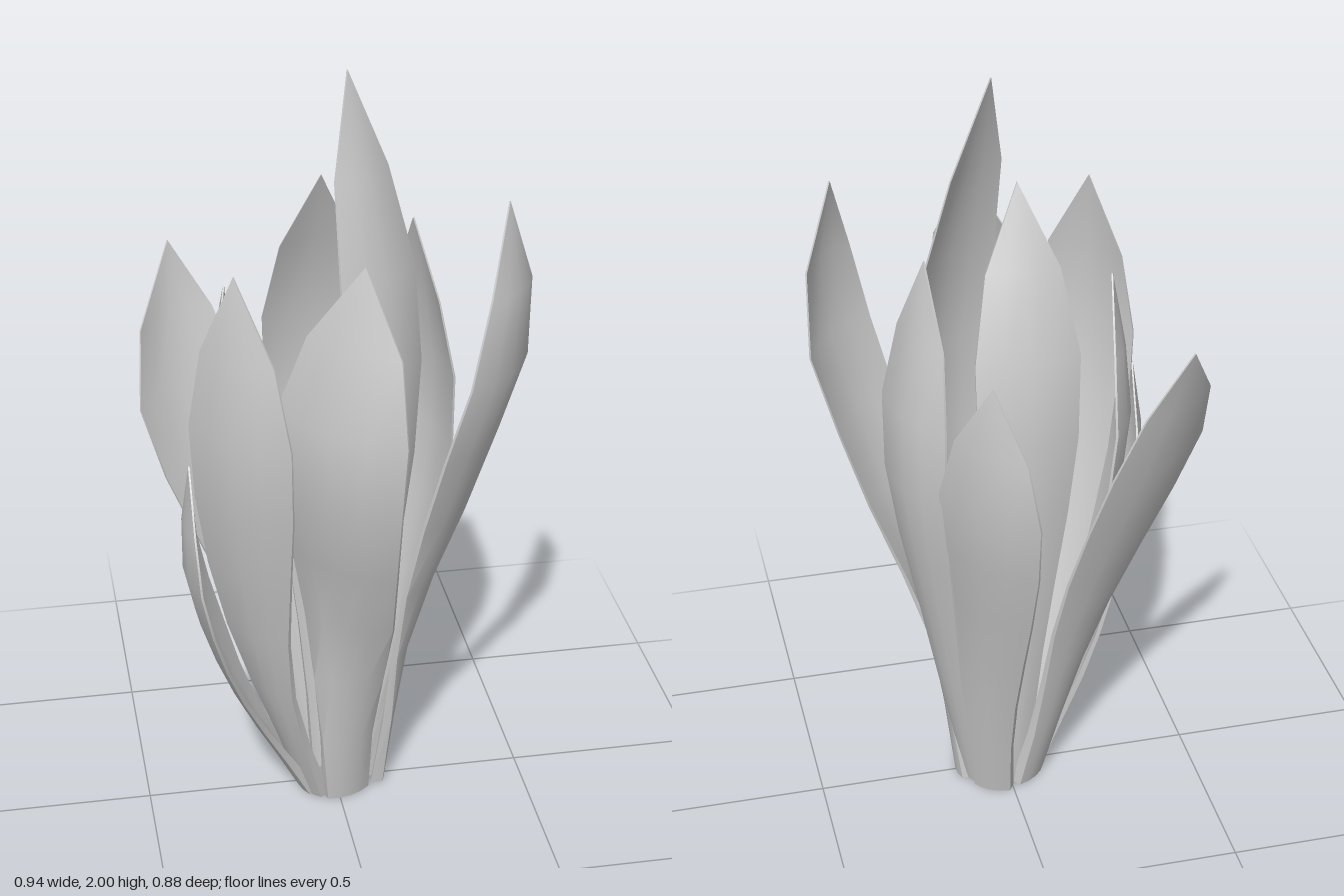
import * as THREE from 'three';
import { toCreasedNormals } from 'three/addons/utils/BufferGeometryUtils.js';

// relative leaf width at equal steps from base to tip
const OUTLINE = [0.33, 0.37, 0.48, 0.65, 0.83, 0.97, 1, 0.71, 0];
const COLS = 4;
const CUP = 0.12;

// name, midrib points from base to tip, greatest width, azimuth the belly faces (degrees, 0 = front)
const LEAVES = [
  ['tallInnerLeaf', [[0.06, 0, 0.05], [0.1, 0.6, 0.11], [0.125, 1.35, 0.13], [0.03, 2, 0.01]], 0.25, 35],
  ['innerBackLeaf', [[-0.01, 0, -0.09], [-0.02, 0.6, -0.14], [-0.03, 1.3, -0.165], [-0.03, 1.74, -0.01]], 0.26, -180],
  ['outerLeftLeaf', [[0.135, 0, 0], [0.195, 0.5, 0.07], [0.31, 0.95, 0.155], [0.415, 1.38, 0.205], [0.39, 1.71, 0.16]], 0.26, 46],
  ['frontLeaf', [[0.03, 0, 0.09], [0, 0.5, 0.19], [-0.075, 1.15, 0.345], [0.02, 1.63, 0.3]], 0.37, -43],
  ['frontRightLeaf', [[-0.085, 0, 0.05], [-0.235, 0.55, 0.18], [-0.297, 1.2, 0.298], [-0.28, 1.61, 0.26]], 0.29, -41],
  ['backLeftLeaf', [[0.11, 0, -0.04], [0.2, 0.5, -0.08], [0.283, 1.1, -0.115], [0.21, 1.59, -0.07]], 0.27, 113],
  ['outerBackRightLeaf', [[-0.07, 0, -0.08], [-0.19, 0.55, -0.16], [-0.365, 1.14, -0.29], [-0.365, 1.44, -0.385]], 0.33, -147],
  ['outerBackLeaf', [[0.06, 0, -0.11], [0.1, 0.5, -0.22], [0.14, 1.1, -0.36], [0.11, 1.39, -0.355]], 0.3, 131],
  ['shortRightLeaf', [[-0.1, 0, 0.02], [-0.29, 0.4, 0.09], [-0.412, 0.84, 0.18], [-0.39, 1.1, 0.2]], 0.31, -94],
  ['rightLeaf', [[-0.1, 0, -0.03], [-0.21, 0.5, -0.04], [-0.315, 1.1, -0.05], [-0.27, 1.47, -0.01]], 0.26, -106],
];

// closed shell lofted along the midrib, cupped towards the inside, thicker at the stalk
function leafGeometry(points, width, facing) {
  const midrib = new THREE.CatmullRomCurve3(points.map((p) => new THREE.Vector3(...p)));
  const belly = THREE.MathUtils.degToRad(facing);
  let turn = Math.atan2(points[0][0], points[0][2]) - belly;
  turn = Math.atan2(Math.sin(turn), Math.cos(turn));
  const rows = OUTLINE.length - 1;
  const n = 2 * (COLS + 1);
  const positions = [];
  const index = [];
  OUTLINE.forEach((size, i) => {
    const t = i / rows;
    const p = midrib.getPointAt(t);
    // the leaf twists from its place in the base ring to its own facing
    const a = belly + turn * (1 - THREE.MathUtils.smoothstep(t, 0, 0.5));
    const sin = Math.sin(a);
    const cos = Math.cos(a);
    const w = width * size;
    const thick = 0.004 + 0.006 * (1 - t) + 0.022 * (1 - t) ** 4;
    for (let j = 0; j < n; j++) {
      const inner = j > COLS;
      const u = ((inner ? n - 1 - j : j) / COLS) * 2 - 1;
      const side = (u * w) / 2;
      const out = -CUP * w * u * u - (inner ? thick : 0);
      positions.push(p.x + cos * side + sin * out, p.y, p.z - sin * side + cos * out);
    }
  });
  for (let i = 0; i < rows; i++) {
    for (let j = 0; j < n; j++) {
      const a = i * n + j;
      const b = i * n + ((j + 1) % n);
      index.push(a, b, b + n, a, b + n, a + n);
    }
  }
  // base cap
  for (let j = 0; j < COLS; j++) {
    index.push(j, n - 1 - j, j + 1, j + 1, n - 1 - j, n - 2 - j);
  }
  const geometry = new THREE.BufferGeometry();
  geometry.setAttribute('position', new THREE.Float32BufferAttribute(positions, 3));
  geometry.setIndex(index);
  return toCreasedNormals(geometry, 0.9);
}

export function createModel() {
  const plant = new THREE.Group();
  plant.name = 'leafCluster';
  const material = new THREE.MeshStandardMaterial({ color: 0xcccccc, side: THREE.DoubleSide });
  for (const [name, points, width, facing] of LEAVES) {
    const leaf = new THREE.Mesh(leafGeometry(points, width, facing), material);
    leaf.name = name;
    plant.add(leaf);
  }
  return plant;
}
